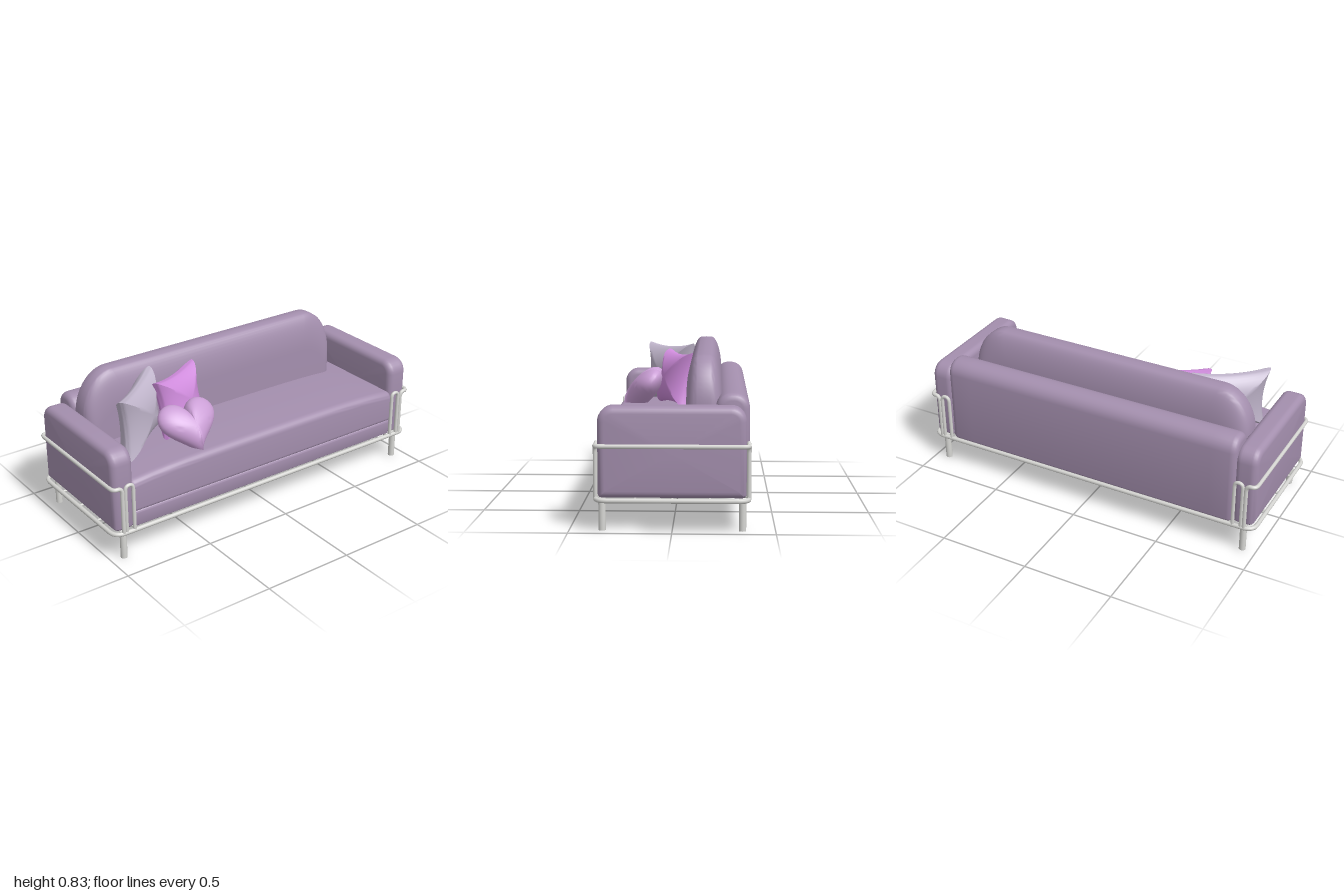
import * as THREE from 'three';
import { toCreasedNormals } from 'three/addons/utils/BufferGeometryUtils.js';

const mat = (name, color) => new THREE.MeshStandardMaterial({ name, color });

// Skin a list of equal-length rings (counter-clockwise seen from the end) and cap both ends
function loft(rings, crease = 0.6) {
  const n = rings[0].length, pos = [], idx = [];
  rings.forEach(r => r.forEach(p => pos.push(...p)));
  for (let i = 0; i < rings.length - 1; i++) for (let j = 0; j < n; j++) {
    const k = (j + 1) % n, a = i * n + j, b = i * n + k;
    idx.push(a, b, b + n, a, b + n, a + n);
  }
  const last = (rings.length - 1) * n;
  [rings[0], rings[rings.length - 1]].forEach((r, e) => {
    const c = pos.length / 3;
    pos.push(...[0, 1, 2].map(d => r.reduce((s, p) => s + p[d], 0) / n));
    for (let j = 0; j < n; j++) {
      const k = (j + 1) % n;
      if (e) idx.push(c, last + j, last + k); else idx.push(c, k, j);
    }
  });
  const g = new THREE.BufferGeometry();
  g.setAttribute('position', new THREE.Float32BufferAttribute(pos, 3));
  g.setIndex(idx);
  return toCreasedNormals(g, crease);
}

// Upholstered block running along x, with softened ends and an optional crowned top
function slab({ x: [x0, x1], y: [y0, y1], z: [z0, z1], top, bottom, end, crown = 0 }) {
  const stations = [], steps = 5, mid = (x0 + x1) / 2, half = (x1 - x0) / 2;
  for (let i = 0; i <= steps; i++) {
    const a = i / steps * Math.PI / 2;
    stations.push([x0 + end * (1 - Math.sin(a)), end * (1 - Math.cos(a))]);
  }
  stations.reverse();
  stations.forEach(s => { s[0] = x0 + end - (s[0] - x0); s[1] = end - s[1]; });
  const ends = [];
  for (let i = 0; i <= steps; i++) {
    const a = i / steps * Math.PI / 2;
    ends.push([end * (1 - Math.cos(a)), end * (1 - Math.sin(a))]);
  }
  const all = ends.map(([d, inset]) => [x0 + d, inset]);
  for (let i = 1; i < 16; i++) all.push([x0 + end + (x1 - x0 - 2 * end) * i / 16, 0]);
  ends.reverse().forEach(([d, inset]) => all.push([x1 - d, inset]));
  return loft(all.map(([x, inset]) => {
    const yTop = y1 - inset + crown * (1 - ((x - mid) / half) ** 4);
    const hA = -z1 + inset, hB = -z0 - inset, yB = y0 + inset, ring = [];
    const rt = Math.max(top - inset, 0.004), rb = Math.max(bottom - inset, 0.004);
    [[hB - rb, yB + rb, rb, -1], [hB - rt, yTop - rt, rt, 0],
      [hA + rt, yTop - rt, rt, 1], [hA + rb, yB + rb, rb, 2]].forEach(([h, y, r, q]) => {
      for (let i = 0; i <= 7; i++) {
        const a = (q + i / 7) * Math.PI / 2;
        ring.push([x, y + r * Math.sin(a), -(h + r * Math.cos(a))]);
      }
    });
    return ring;
  }));
}

// Long back cushion: rounded upper corners, domed thickness
function backCushion() {
  const rings = [], N = 12;
  for (let i = 0; i <= 2 * N; i++) {
    const a = (i / N - 1) * Math.PI / 2, k = 1 - Math.cos(a);
    const z = -0.15 + Math.sin(a) * 0.065 + Math.sign(a) * 0.025;
    const x0 = -0.868 + 0.06 * k, x1 = 0.778 - 0.06 * k, y1 = 0.828 - 0.2 * k;
    const rx = 0.18, ry = 0.24 - 0.1 * k, ring = [];
    for (let j = 0; j <= 8; j++) ring.push([x0 + (x1 - x0) * j / 8, 0.4, z]);
    for (let j = 0; j <= 12; j++) {
      const t = j / 12 * Math.PI / 2;
      ring.push([x1 - rx + rx * Math.cos(t), y1 - ry + ry * Math.sin(t), z]);
    }
    for (let j = 0; j <= 12; j++) {
      const t = (1 + j / 12) * Math.PI / 2;
      ring.push([x0 + rx + rx * Math.cos(t), y1 - ry + ry * Math.sin(t), z]);
    }
    rings.push(ring);
  }
  return loft(rings, 0.7);
}

// Stuffed pillow inflated from a flat outline
function puff(outline, thick, power) {
  const rings = [], N = 10;
  for (let i = -N; i <= N; i++) {
    const a = i / N * 1.54, s = Math.cos(a);
    const z = thick * Math.sign(a) * Math.abs(Math.sin(a)) ** power;
    rings.push(outline.map(([x, y]) => [x * s, y * s, z]));
  }
  return loft(rings, 0.9);
}

// Square outline with hollow sides and pointed corners
function squareOutline(w, h, pinch) {
  const pts = [], n = 10;
  for (let side = 0; side < 4; side++) for (let i = 0; i < n; i++) {
    const v = -1 + 2 * i / n, u = 1 - pinch * (1 - v * v);
    const [x, y] = [[u, v], [-v, u], [-u, -v], [v, -u]][side];
    pts.push([x * w / 2, y * h / 2]);
  }
  return pts;
}

function heartOutline(width) {
  return Array.from({ length: 48 }, (_, i) => {
    const t = i / 48 * Math.PI * 2, k = width / 32;
    return [-16 * k * Math.sin(t) ** 3,
      k * (13 * Math.cos(t) - 5 * Math.cos(2 * t) - 2 * Math.cos(3 * t) - Math.cos(4 * t) + 2.5)];
  });
}

// Bent metal tube through corner points, each corner rounded
function bentTube(points, radius, corner, segments, closed = false) {
  const p = points.map(q => new THREE.Vector3(...q)), n = p.length;
  const path = new THREE.CurvePath();
  const toward = (a, b) => a.clone().add(b.clone().sub(a).setLength(Math.min(corner, a.distanceTo(b) * 0.49)));
  let from = closed ? toward(p[0], p[1]) : p[0];
  const stop = closed ? n : n - 2;
  for (let i = 1; i <= stop; i++) {
    const c = p[i % n], a = toward(c, p[i - 1]), b = toward(c, p[(i + 1) % n]);
    path.add(new THREE.LineCurve3(from, a));
    path.add(new THREE.QuadraticBezierCurve3(a, c, b));
    from = b;
  }
  if (!closed) path.add(new THREE.LineCurve3(from, p[n - 1]));
  return new THREE.TubeGeometry(path, segments, radius, 8, closed);
}

export function createModel() {
  const model = new THREE.Group();
  model.name = 'sofa';
  const fabric = mat('mauve fabric', 0xa48fae);
  const metal = mat('pale metal', 0xd6d6d3);
  const grey = mat('grey lilac fabric', 0xc0b5cb);
  const orchid = mat('orchid fabric', 0xd08cdd);
  const pink = mat('soft pink fabric', 0xcb9fd6);
  const add = (name, geo, material, pos = [0, 0, 0], rot = [0, 0, 0]) => {
    const m = new THREE.Mesh(geo, material);
    m.name = name;
    m.position.set(...pos);
    m.rotation.set(...rot, 'YXZ');
    model.add(m);
    return m;
  };

  // Upholstery
  add('base', slab({ x: [-0.87, 0.87], y: [0.166, 0.258], z: [-0.35, 0.362], top: 0.018, bottom: 0.012, end: 0.01 }), fabric);
  add('seat', slab({ x: [-0.875, 0.875], y: [0.252, 0.43], z: [-0.3, 0.366], top: 0.04, bottom: 0.018, end: 0.02, crown: 0.025 }), fabric);
  add('backrest', slab({ x: [-0.872, 0.862], y: [0.166, 0.66], z: [-0.375, -0.21], top: 0.075, bottom: 0.02, end: 0.035 }), fabric);
  add('backCushion', backCushion(), fabric);
  for (const s of [-1, 1]) {
    const x = s < 0 ? [-0.983, -0.857] : [0.857, 0.983];
    add(s > 0 ? 'leftArm' : 'rightArm',
      slab({ x, y: [0.166, 0.61], z: [-0.358, 0.358], top: 0.075, bottom: 0.02, end: 0.035 }), fabric);
  }

  // Loose pillows
  add('greyPillow', puff(squareOutline(0.43, 0.35, 0.13), 0.085, 1.3), grey, [-0.64, 0.618, 0.065], [-0.05, 0.67, 0.03]);
  add('orchidPillow', puff(squareOutline(0.36, 0.32, 0.13), 0.085, 1.2), orchid, [-0.36, 0.608, 0.02], [-0.2, 0.42, 0]);
  add('heartPillow', puff(heartOutline(0.335), 0.075, 1), pink, [-0.42, 0.535, 0.22], [-0.72, 0, 0]);

  // Metal frame
  const ringY = 0.157, X = 0.988, Z = 0.37;
  add('floorRing', bentTube([[-X, ringY, -Z], [-X, ringY, Z], [X, ringY, Z], [X, ringY, -Z]], 0.012, 0.06, 500, true), metal);
  for (const z of [-0.18, 0, 0.18])
    add('underRail', bentTube([[-X, ringY, z], [0, ringY, z], [X, ringY, z]], 0.007, 0.02, 8), metal);
  for (const s of [-1, 1]) {
    add('crossBar', bentTube([[s * 0.86, ringY, -Z], [s * 0.86, ringY, 0], [s * 0.86, ringY, Z]], 0.008, 0.02, 8), metal);
    add('armRail', bentTube([[s * 0.936, ringY, Z], [s * 0.936, 0.42, Z], [s * X, 0.42, Z],
      [s * X, 0.42, -Z], [s * 0.936, 0.42, -Z], [s * 0.936, ringY, -Z]], 0.011, 0.035, 260), metal);
    for (const f of [-1, 1]) {
      add('armHoop', bentTube([[s * 0.918, ringY, f * Z], [s * 0.918, 0.425, f * Z],
        [s * 0.872, 0.425, f * Z], [s * 0.872, ringY, f * Z]], 0.01, 0.03, 120), metal);
      add('leg', new THREE.CylinderGeometry(0.018, 0.018, 0.157, 16), metal, [s * 0.925, 0.0785, f * 0.34]);
    }
  }
  return model;
}
